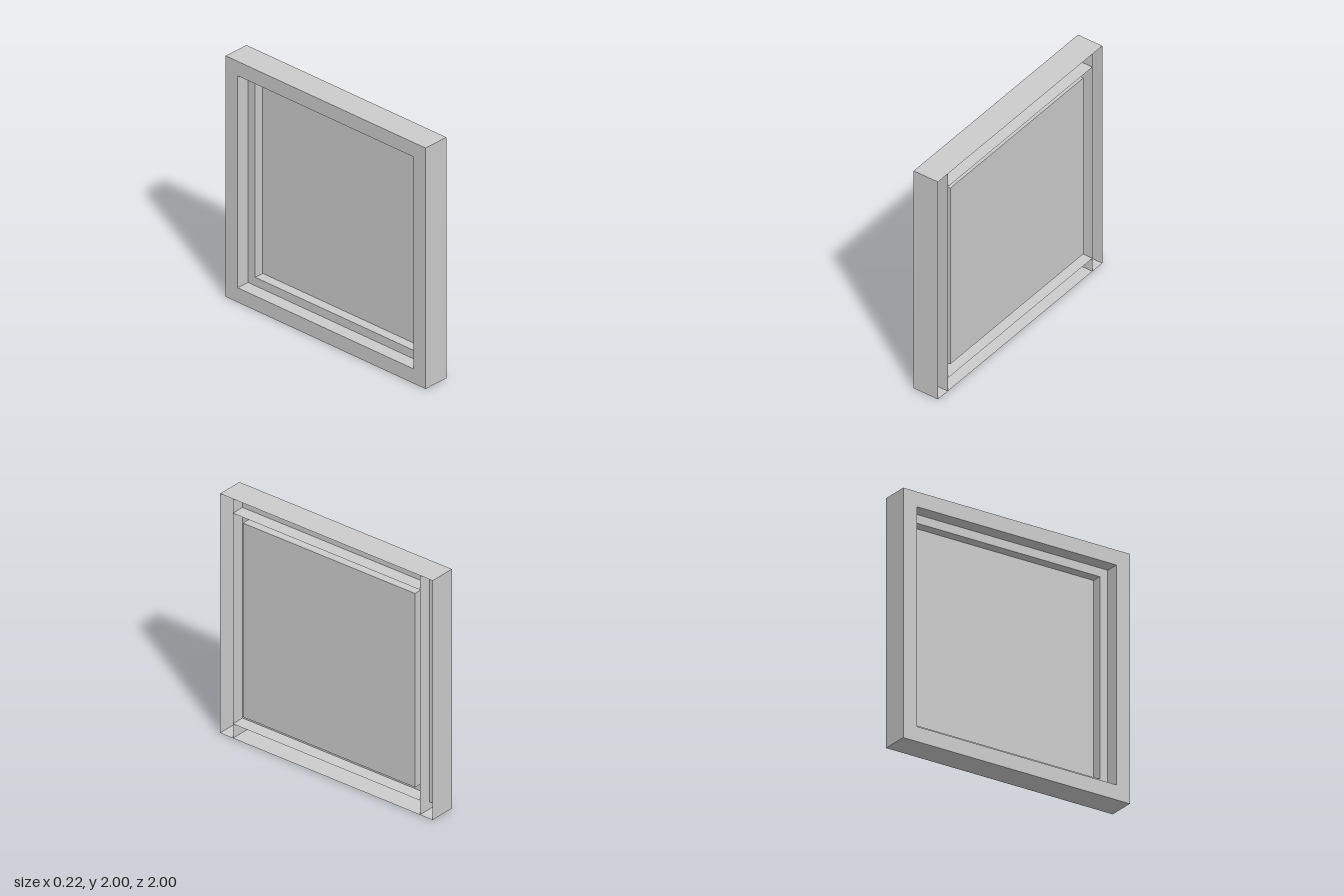
import * as THREE from 'three';

const material = new THREE.MeshStandardMaterial({ color: 0xcccccc, side: THREE.DoubleSide, flatShading: true });

const OUTER = 1, OPENING = 0.88, MAT = 0.94, PICTURE = 0.81; // half sizes
const FACE_X = -0.11, BACK_X = 0.11, MAT_X = 0, PICTURE_X = 0.08;

function add(parent, geometry, name) {
  const mesh = new THREE.Mesh(geometry, material);
  mesh.name = name;
  parent.add(mesh);
  return mesh;
}

// Flat square ring facing -x
function ring(parent, outer, inner, x, name) {
  const square = (Type, h) => new Type([[-h, -h], [h, -h], [h, h], [-h, h]].map(([a, b]) => new THREE.Vector2(a, b)));
  const shape = square(THREE.Shape, outer);
  shape.holes.push(square(THREE.Path, inner));
  const geometry = new THREE.ShapeGeometry(shape).rotateY(-Math.PI / 2).translate(x, 0, 0);
  return add(parent, geometry, name);
}

// Four thin walls around a square, running from x0 to x1
function walls(parent, half, x0, x1, uprightLength, name) {
  const depth = x1 - x0, mid = (x0 + x1) / 2;
  for (const s of [-1, 1]) {
    add(parent, new THREE.PlaneGeometry(depth, uprightLength).translate(mid, 0, s * half), name + 'Upright');
    add(parent, new THREE.PlaneGeometry(depth, half * 2).rotateX(-Math.PI / 2).translate(mid, s * half, 0), name + 'Rail');
  }
}

export function createModel() {
  const model = new THREE.Group();
  model.name = 'pictureFrame';

  // Hollow moulding, open at the rear (+x); inner uprights run full height
  const frame = new THREE.Group();
  frame.name = 'frame';
  ring(frame, OUTER, OPENING, FACE_X, 'frameFace');
  walls(frame, OUTER, FACE_X, BACK_X, OUTER * 2, 'outerWall');
  walls(frame, OPENING, FACE_X, BACK_X, OUTER * 2, 'innerWall');

  // Mat set into the moulding, stepping back to the picture panel
  const insert = new THREE.Group();
  insert.name = 'insert';
  ring(insert, MAT, PICTURE, MAT_X, 'mat');
  walls(insert, PICTURE, MAT_X, PICTURE_X, PICTURE * 2, 'recessWall');
  add(insert, new THREE.PlaneGeometry(PICTURE * 2, PICTURE * 2).rotateY(-Math.PI / 2).translate(PICTURE_X, 0, 0), 'picturePanel');

  model.add(frame, insert);
  for (const part of model.children) part.position.y = 1;
  return model;
}
